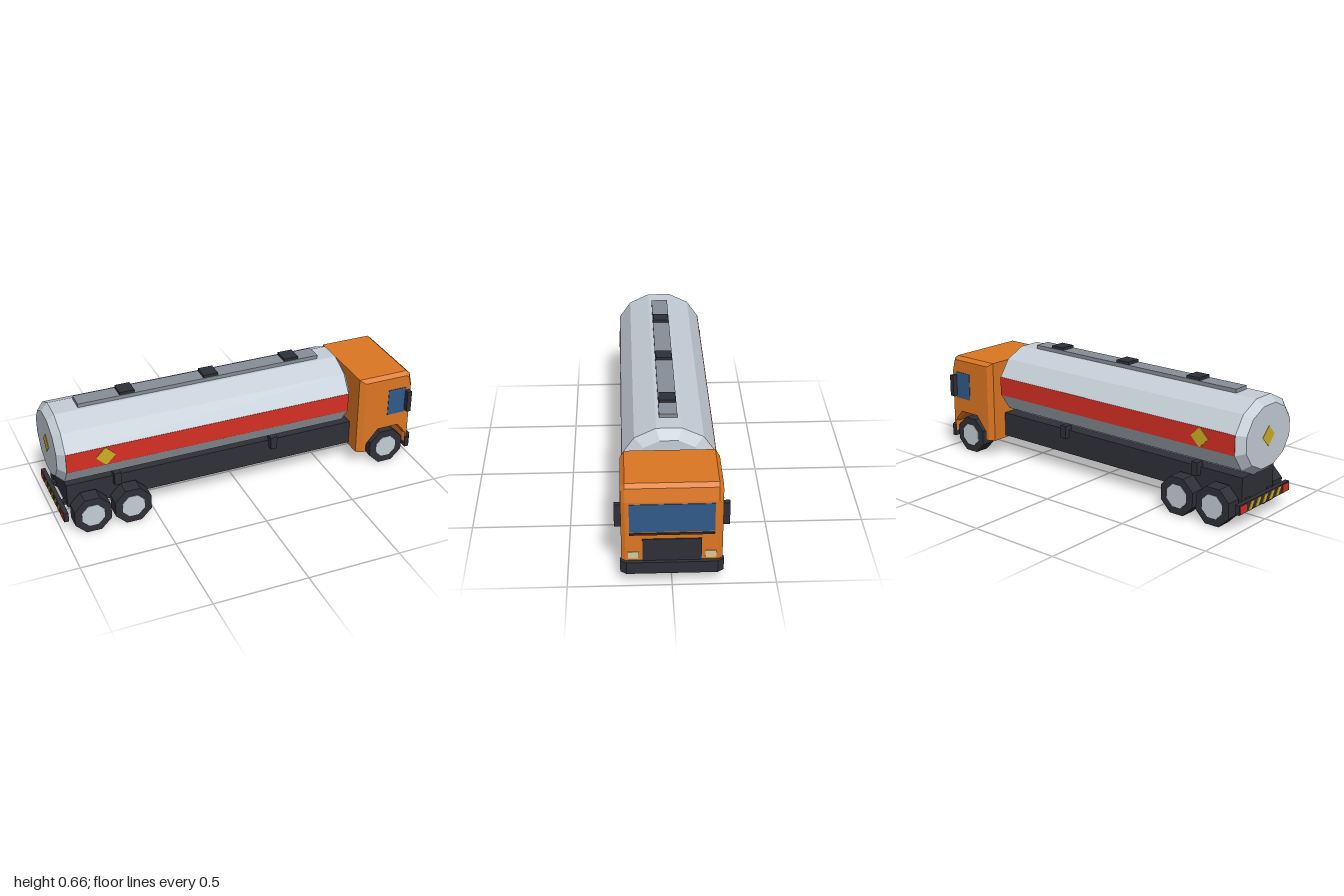
import * as THREE from 'three';

const mat = (name, color) => {
  const m = new THREE.MeshStandardMaterial({ color });
  m.name = name;
  return m;
};

export function createModel() {
  const truck = new THREE.Group();
  truck.name = 'tankerTruck';

  const orange = mat('cabOrange', 0xdd7723);
  const silver = mat('tankSilver', 0xc5ced7);
  const grey = mat('walkwayGrey', 0x878f98);
  const dark = mat('darkTrim', 0x2f2f38);
  const red = mat('stripeRed', 0xd62f24);
  const yellow = mat('signYellow', 0xcfae24);
  const blue = mat('glassBlue', 0x305a89);
  const cream = mat('lampCream', 0xd6cd98);

  const add = (name, geo, material, x = 0, y = 0, z = 0) => {
    const flat = geo.index ? geo.toNonIndexed() : geo;
    flat.computeVertexNormals();
    const mesh = new THREE.Mesh(flat, material);
    mesh.name = name;
    mesh.position.set(x, y, z);
    truck.add(mesh);
    return mesh;
  };
  // Box given by its minimum and maximum on each axis
  const box = (name, material, [x0, x1], [y0, y1], [z0, z1]) =>
    add(name, new THREE.BoxGeometry(x1 - x0, y1 - y0, z1 - z0), material,
      (x0 + x1) / 2, (y0 + y1) / 2, (z0 + z1) / 2);
  // The same box on both sides of the truck
  const pair = (name, material, xs, ys, [z0, z1]) => {
    box(name + 'Left', material, xs, ys, [z0, z1]);
    box(name + 'Right', material, xs, ys, [-z1, -z0]);
  };

  // Tank: twelve-sided oval barrel with tapered ends
  const RY = 0.199, RZ = 0.239, TANK_Y = 0.433;
  const profile = [[0, -1], [0.82, -1], [1, -0.963], [1, 0.59], [0.74, 0.625], [0, 0.625]]
    .map(([r, x]) => new THREE.Vector2(r, x));
  const tank = new THREE.LatheGeometry(profile, 12, Math.PI / 12);
  tank.rotateZ(-Math.PI / 2);
  tank.scale(1, RY, RZ);
  add('tank', tank, silver, 0, TANK_Y, 0);
  pair('tankStripe', red, [-0.963, 0.59], [0.382, 0.485], [0.228, 0.2325]);

  // Walkway and hatches on top
  box('walkway', grey, [-0.835, 0.49], [0.615, 0.645], [-0.045, 0.045]);
  for (const x of [-0.575, -0.12, 0.337])
    box('hatch', dark, [x - 0.04, x + 0.04], [0.64, 0.66], [-0.042, 0.042]);

  // Hazard diamonds on both sides and the rear
  const diamond = (w) => {
    const g = new THREE.BoxGeometry(w, w, 0.004);
    g.rotateZ(Math.PI / 4);
    return g;
  };
  for (const s of [1, -1]) add('sideDiamond', diamond(0.073), yellow, -0.76, TANK_Y, s * 0.234);
  add('rearDiamond', diamond(0.073).rotateY(Math.PI / 2), yellow, -1, TANK_Y, 0);

  // Chassis and tank brackets
  box('chassis', dark, [-0.95, 0.67], [0.108, 0.242], [-0.137, 0.137]);
  for (const x of [-0.685, 0.19])
    pair('tankBracket', dark, [x - 0.018, x + 0.018], [0.2, 0.27], [0.12, 0.168]);

  // Rear bumper with warning marks
  box('rearBumper', dark, [-0.994, -0.97], [0.085, 0.135], [-0.222, 0.222]);
  pair('bumperArm', dark, [-0.972, -0.945], [0.11, 0.13], [0.08, 0.11]);
  pair('rearLamp', red, [-0.997, -0.993], [0.09, 0.13], [0.16, 0.215]);
  for (let i = -2; i <= 2; i++) {
    const g = new THREE.BoxGeometry(0.004, 0.04, 0.026);
    const p = g.attributes.position;
    for (let k = 0; k < p.count; k++) p.setZ(k, p.getZ(k) + p.getY(k) * 0.6);
    add('warningMark', g, yellow, -0.995, 0.11, i * 0.06);
  }

  // Wheels: octagonal tyres with hubs showing on both faces
  const octagon = (r, w) => new THREE.CylinderGeometry(r, r, w, 8, 1, false, Math.PI / 8)
    .rotateX(Math.PI / 2);
  for (const x of [-0.845, -0.63, 0.84])
    for (const s of [1, -1]) {
      add('tyre', octagon(0.105, 0.082), dark, x, 0.097, s * 0.194);
      add('hub', octagon(0.064, 0.086), silver, x, 0.097, s * 0.194);
    }

  // Cab: side outline with wheel arch [x, y], and the inset outline of the side faces
  const outline = [
    [0.66, 0.095, 0.69, 0.095], [0.72, 0.095, 0.712, 0.095], [0.72, 0.14, 0.712, 0.144],
    [0.785, 0.215, 0.78, 0.225], [0.9, 0.215, 0.904, 0.225], [0.95, 0.157, 0.956, 0.161],
    [0.95, 0.1, 0.956, 0.1], [0.978, 0.1, 0.965, 0.1], [0.978, 0.46, 0.965, 0.457],
    [0.963, 0.528, 0.95, 0.515], [0.942, 0.545, 0.934, 0.525], [0.66, 0.545, 0.69, 0.525],
  ];
  const ring = (inset, z) => outline.map((o) => [o[inset], o[inset + 1], z]);
  const rings = [ring(2, 0.24), ring(0, 0.22), ring(0, -0.22), ring(2, -0.24)];
  const verts = [];
  const tri = (a, b, c) => verts.push(...a, ...b, ...c);
  for (let r = 0; r < 3; r++)
    outline.forEach((_, i) => {
      const j = (i + 1) % outline.length, [a, b] = [rings[r], rings[r + 1]];
      tri(a[i], b[i], b[j]);
      tri(a[i], b[j], a[j]);
    });
  const flatRing = rings[0].map(([x, y]) => new THREE.Vector2(x, y));
  for (const [a, b, c] of THREE.ShapeUtils.triangulateShape(flatRing, [])) {
    tri(rings[0][a], rings[0][b], rings[0][c]);
    tri(rings[3][a], rings[3][c], rings[3][b]);
  }
  const cab = new THREE.BufferGeometry();
  cab.setAttribute('position', new THREE.Float32BufferAttribute(verts, 3));
  add('cab', cab, orange);

  // Cab face
  box('windshield', blue, [0.975, 0.981], [0.297, 0.45], [-0.201, 0.201]);
  box('wiperStrip', dark, [0.975, 0.984], [0.28, 0.29], [-0.201, 0.201]);
  box('grille', dark, [0.975, 0.983], [0.12, 0.256], [-0.14, 0.14]);
  pair('headlight', cream, [0.975, 0.983], [0.147, 0.184], [0.157, 0.209]);
  pair('sideWindow', blue, [0.832, 0.938], [0.303, 0.455], [0.237, 0.2425]);
  pair('mirror', dark, [0.933, 0.958], [0.316, 0.437], [0.236, 0.271]);

  // Front bumper with cut corners
  const plan = new THREE.Shape([[0.955, -0.246], [0.978, -0.246], [1, -0.216], [1, 0.216],
    [0.978, 0.246], [0.955, 0.246]].map(([x, z]) => new THREE.Vector2(x, z)));
  const bumper = new THREE.ExtrudeGeometry(plan, { depth: 0.064, bevelEnabled: false });
  bumper.rotateX(-Math.PI / 2);
  add('frontBumper', bumper, dark, 0, 0.07, 0);

  return truck;
}
